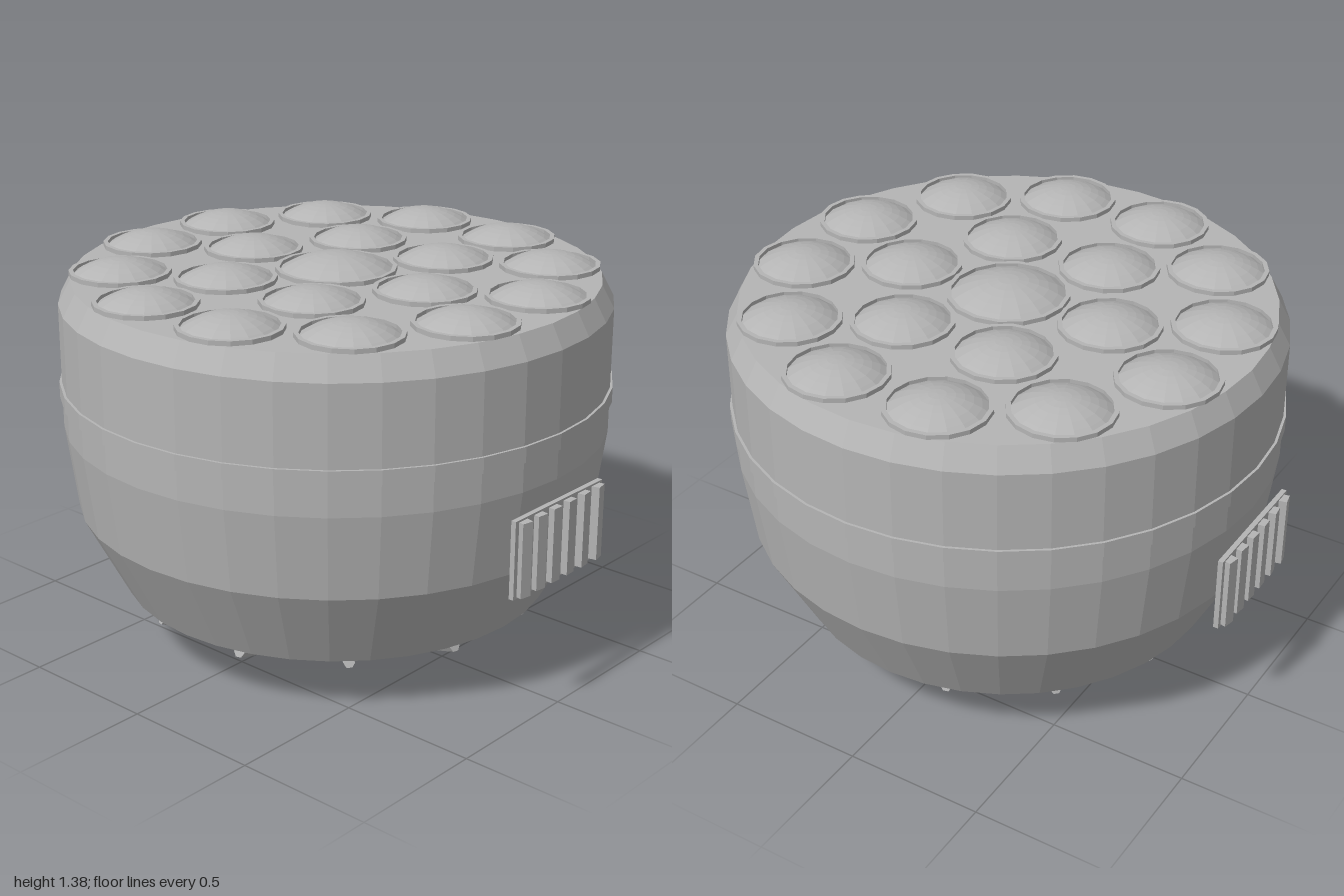
import * as THREE from 'three';

export function createModel() {
  const root = new THREE.Group();
  root.name = 'multiLensLamp';
  const grey = new THREE.MeshStandardMaterial({ color: 0xb4b4b4 });
  grey.name = 'plainGrey';
  grey.flatShading = true;

  const add = (name, geometry, parent = root) => {
    const mesh = new THREE.Mesh(geometry, grey);
    mesh.name = name;
    parent.add(mesh);
    return mesh;
  };
  const lathe = (points, sides) =>
    new THREE.LatheGeometry(points.map(([r, y]) => new THREE.Vector2(r, y)), sides);

  // Housing and the band around it
  add('housing', lathe([[0, 0.085], [0.44, 0.085], [0.765, 0.205], [0.917, 0.5],
    [0.957, 0.8], [0.957, 1.24], [0.914, 1.32], [0, 1.32]], 36));
  add('band', lathe([[0.94, 0.905], [0.966, 0.905], [0.966, 0.96], [0.94, 0.96]], 36));

  // Domed lens in a raised rim
  const addLens = (x, z, r, height) => {
    const lens = new THREE.Group();
    lens.name = 'lens';
    lens.position.set(x, 1.32, z);
    root.add(lens);
    const sphere = (r * r + height * height) / (2 * height);
    const dome = add('dome', new THREE.SphereGeometry(sphere, 16, 6, 0, Math.PI * 2,
      0, Math.asin(r / sphere)), lens);
    dome.position.y = height - sphere;
    add('rim', lathe([[r + 0.012, 0], [r + 0.012, 0.016], [r - 0.004, 0.016], [r - 0.004, 0]], 16), lens);
  };
  addLens(0, 0, 0.2, 0.063);
  const addLensRing = (count, radius, offset) => {
    for (let i = 0; i < count; i++) {
      const a = offset + (i / count) * Math.PI * 2;
      addLens(Math.cos(a) * radius, Math.sin(a) * radius, 0.165, 0.054);
    }
  };
  addLensRing(6, 0.395, 0);
  addLensRing(12, 0.742, Math.PI / 12);

  // Slatted vents on both sides
  for (const side of [1, -1]) {
    const vent = new THREE.Group();
    vent.name = side > 0 ? 'leftVent' : 'rightVent';
    vent.rotation.y = side > 0 ? 0 : Math.PI;
    root.add(vent);
    add('ventPlate', new THREE.BoxGeometry(0.018, 0.275, 0.48), vent).position.set(0.964, 0.593, 0);
    for (let i = 0; i < 6; i++) {
      const z = (i - 2.5) * 0.081;
      const slat = add('ventSlat', new THREE.BoxGeometry(0.034, 0.262, 0.042), vent);
      slat.position.set(0.98, 0.593, z);
      slat.rotation.y = -Math.atan2(z, 0.96);
    }
  }

  // Ribs lying on the lower cone
  const slope = Math.atan2(0.12, 0.325);
  for (let i = 0; i < 12; i++) {
    const arm = new THREE.Group();
    arm.name = 'ribArm';
    arm.rotation.y = Math.PI / 12 + (i / 12) * Math.PI * 2;
    root.add(arm);
    const rib = add('rib', new THREE.CylinderGeometry(0.02, 0.02, 0.29, 6), arm);
    rib.position.set(0.59, 0.13, 0);
    rib.rotation.z = slope - Math.PI / 2;
  }

  // Round foot with a ring-and-spoke grille underneath
  add('foot', lathe([[0, 0.03], [0.28, 0.03], [0.28, 0.015], [0.318, 0.015], [0.318, 0.09]], 24));
  for (const r of [0.25, 0.17, 0.09]) {
    const ring = add('grilleRing', new THREE.TorusGeometry(r, 0.012, 6, 24));
    ring.rotation.x = Math.PI / 2;
    ring.position.y = 0.019;
  }
  for (let i = 0; i < 4; i++) {
    const spoke = add('grilleSpoke', new THREE.BoxGeometry(0.49, 0.025, 0.02));
    spoke.position.y = 0.0125;
    spoke.rotation.y = (i * Math.PI) / 4;
  }
  add('grilleHub', new THREE.CylinderGeometry(0.03, 0.03, 0.03, 12)).position.y = 0.015;

  return root;
}
